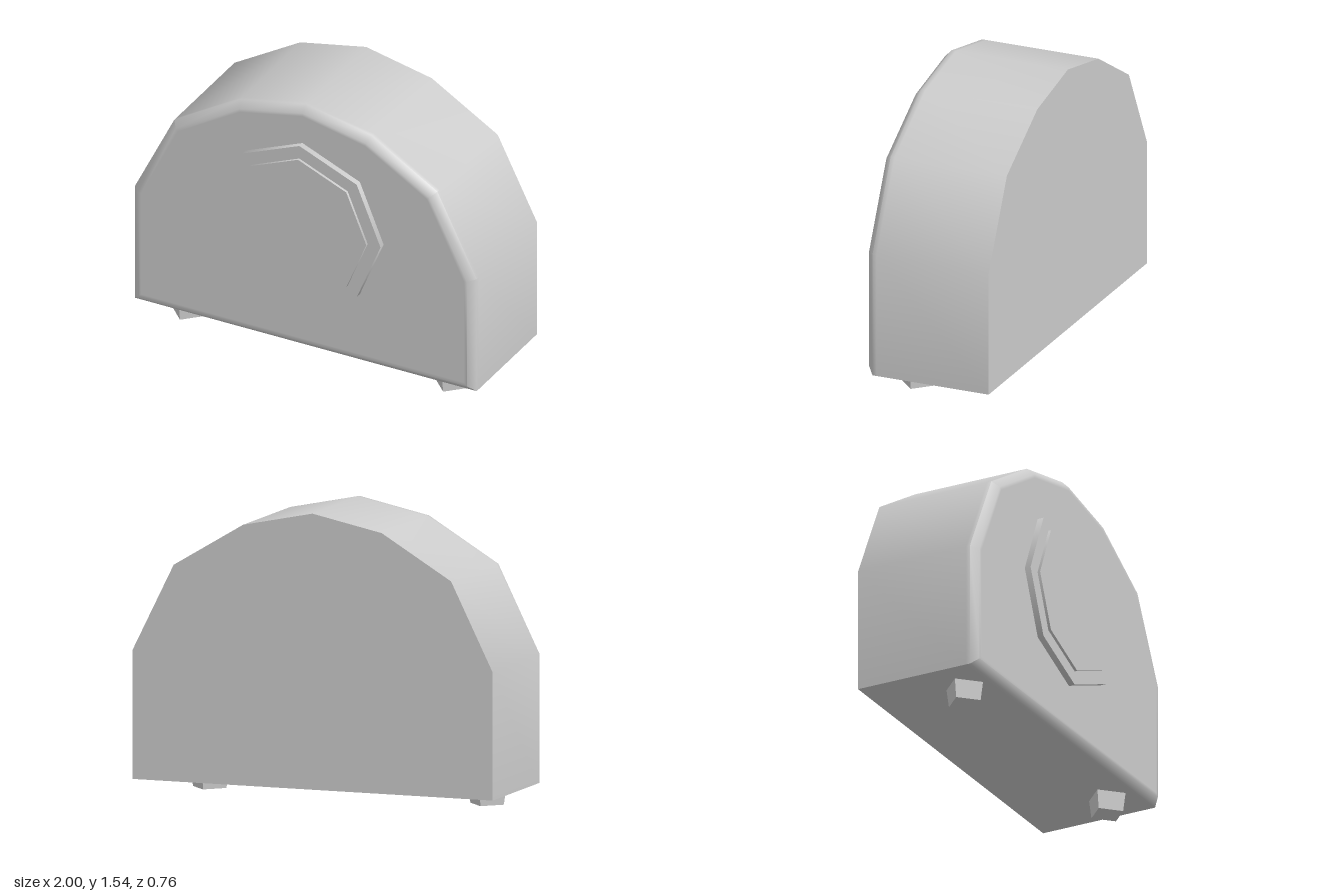
import * as THREE from 'three';
import { toCreasedNormals } from 'three/addons/utils/BufferGeometryUtils.js';

const grey = new THREE.MeshStandardMaterial({ color: 0xcccccc });
grey.name = 'grey';

// Arched case outline, counter-clockwise seen from the front
const right = [[1, 0.1], [1, 0.77], [0.77, 1.23], [0.385, 1.46]];
const outline = [...right, [0, 1.54], ...right.map(([x, y]) => [-x, y]).reverse()]
  .map(([x, y]) => new THREE.Vector2(x, y));

// Outline moved inwards by d with mitred corners
function inset(d) {
  const n = outline.length;
  return outline.map((p, i) => {
    const a = p.clone().sub(outline[(i + n - 1) % n]).normalize();
    const b = outline[(i + 1) % n].clone().sub(p).normalize();
    const inA = new THREE.Vector2(-a.y, a.x), inB = new THREE.Vector2(-b.y, b.x);
    const miter = inA.clone().add(inB).normalize();
    return p.clone().addScaledVector(miter, d / miter.dot(inA));
  });
}

// Case: rings of the outline from back to front, with a chamfered front edge
function caseGeometry() {
  const rings = [[0, -0.383], [0, 0.25], [0, 0.273], [0.037, 0.31], [0.055, 0.31]]
    .map(([d, z]) => inset(d).map(p => [p.x, p.y, z]));
  const n = outline.length;
  const pos = [];
  const tri = (a, b, c) => pos.push(...a, ...b, ...c);
  const back = [0, 0.8, -0.383], front = [0, 0.8, 0.31];
  for (let i = 0; i < n; i++) {
    const j = (i + 1) % n;
    for (let k = 0; k < rings.length - 1; k++) {
      const r = rings[k], s = rings[k + 1];
      tri(r[i], r[j], s[j]);
      tri(r[i], s[j], s[i]);
    }
    tri(back, rings[0][j], rings[0][i]);
    tri(front, rings[rings.length - 1][i], rings[rings.length - 1][j]);
  }
  const g = new THREE.BufferGeometry();
  g.setAttribute('position', new THREE.Float32BufferAttribute(pos, 3));
  return toCreasedNormals(g, THREE.MathUtils.degToRad(50));
}

export function createModel() {
  const clock = new THREE.Group();
  clock.name = 'mantelClock';

  const add = (name, geometry, x = 0, y = 0, z = 0) => {
    const mesh = new THREE.Mesh(geometry, grey);
    mesh.name = name;
    mesh.position.set(x, y, z);
    clock.add(mesh);
    return mesh;
  };

  add('case', caseGeometry());

  // Octagonal bezel and dial
  const disc = (r, depth) => new THREE.CylinderGeometry(r, r, depth, 8).rotateX(Math.PI / 2);
  add('bezel', disc(0.475, 0.035), 0, 0.85, 0.3265);
  add('dial', disc(0.4, 0.05), 0, 0.85, 0.334);

  // Hour marks, flat plates just in front of the dial
  for (let i = 0; i < 4; i++) {
    const a = i * Math.PI / 2;
    const mark = add('hourMark', new THREE.PlaneGeometry(0.066, 0.03),
      0.307 * Math.cos(a), 0.85 + 0.307 * Math.sin(a), 0.378);
    mark.rotation.z = a;
  }

  // Hands
  const hand = pts => new THREE.ShapeGeometry(
    new THREE.Shape(pts.map(([x, y]) => new THREE.Vector2(x, y))));
  add('minuteHand', hand([[0, 0.835], [0, 0.868], [-0.21, 1.046], [-0.235, 1.025]]), 0, 0, 0.382);
  add('hourHand', hand([[0, 0.835], [0.197, 0.885], [0.187, 0.92], [0, 0.866]]), 0, 0, 0.382);

  // Tapered diamond feet under the front
  for (const side of [-1, 1]) {
    const foot = new THREE.CylinderGeometry(0.107, 0.093, 0.1, 4).toNonIndexed();
    foot.computeVertexNormals();
    add(side > 0 ? 'leftFoot' : 'rightFoot', foot, side * 0.77, 0.05, 0.118);
  }

  return clock;
}
